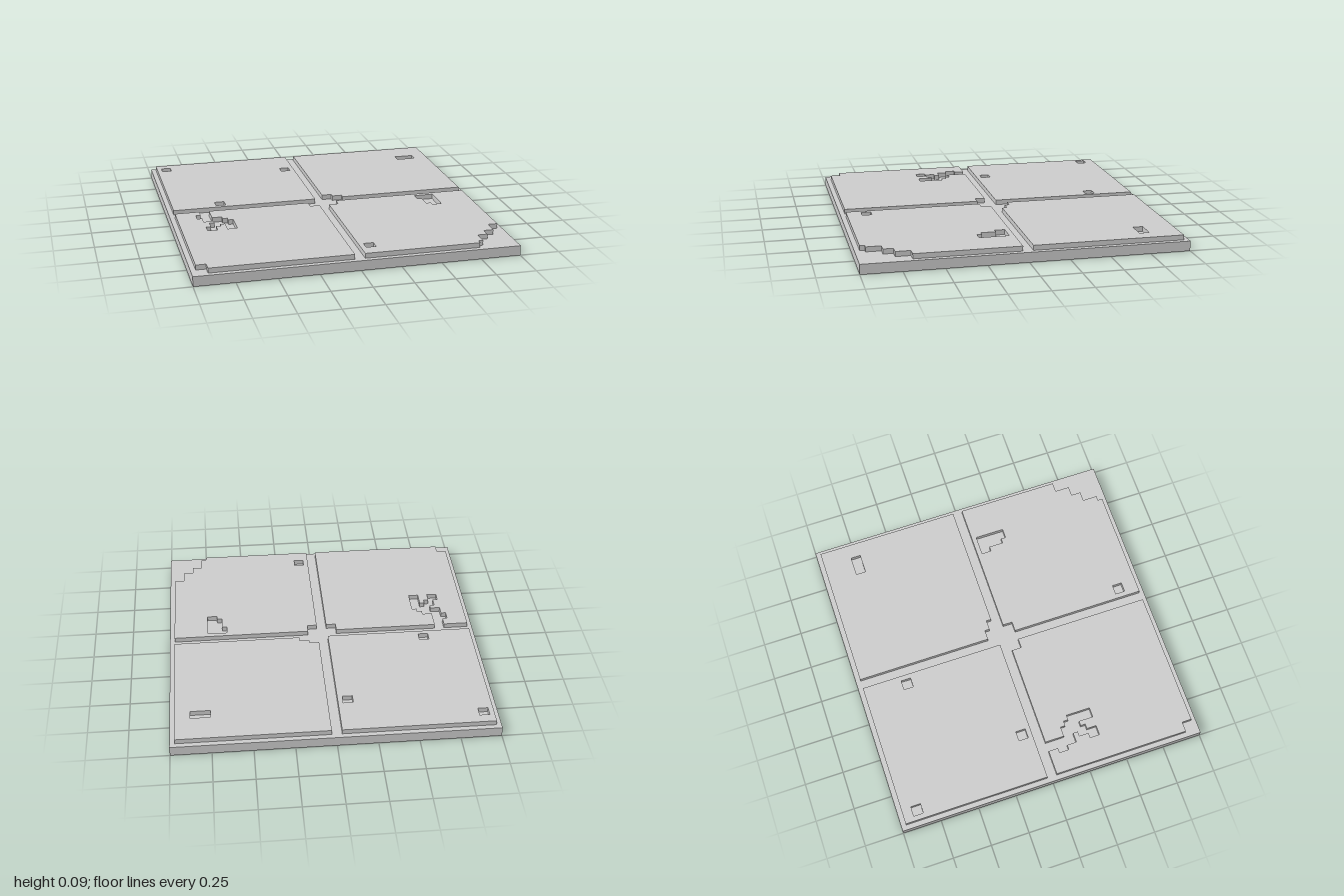
import * as THREE from 'three';

const U = 1 / 32; // grid step; all outlines below are in grid steps
const BASE_TOP = 2 * U;
const TILE_HEIGHT = U;

// Right-angled outline: starts at x, z and moves alternately along x and z
function walk(x, z, ...steps) {
  const corners = [new THREE.Vector2(x * U, z * U)];
  steps.forEach((step, i) => {
    if (i % 2 === 0) x += step;
    else z += step;
    corners.push(new THREE.Vector2(x * U, z * U));
  });
  return corners;
}

const rect = (x, z, width, depth) => walk(x, z, width, depth, -width);

// Raised slab from an outline, with chips cut through it
function makeTile(name, material, outline, ...holes) {
  const shape = new THREE.Shape(outline);
  shape.holes = holes.map((hole) => new THREE.Path(hole));
  const geometry = new THREE.ExtrudeGeometry(shape, { depth: TILE_HEIGHT, bevelEnabled: false });
  geometry.rotateX(Math.PI / 2); // outline y becomes z, depth runs down
  const tile = new THREE.Mesh(geometry, material);
  tile.name = name;
  tile.position.y = BASE_TOP + TILE_HEIGHT;
  return tile;
}

export function createModel() {
  const group = new THREE.Group();
  group.name = 'tiledFloor';
  const material = new THREE.MeshStandardMaterial({ color: 0xcccccc, flatShading: true });

  // Base slab
  const base = new THREE.Mesh(new THREE.BoxGeometry(2, BASE_TOP, 2), material);
  base.name = 'baseSlab';
  base.position.y = BASE_TOP / 2;
  group.add(base);

  // Whole tile with three square chips
  group.add(makeTile('backRightTile', material, rect(-31, -31, 30, 30),
    rect(-30, -29, 2, 2), rect(-4, -23, 2, 2), rect(-22, -4, 2, 2)));

  // Tile with a stepped inner corner
  group.add(makeTile('backLeftTile', material,
    walk(1, -31, 30, 30, -26, -1, -2, -1, -2),
    rect(24, -25, 4, 2)));

  // Tile with a branching crack from its back edge and two chipped corners
  const crack = [2, -1, 2, 1, 2, 2, 1, -1, 2, -1, 2, 2, -2, 1, -1, 1, 3, 2, -5, -1, -1, -1, -1, -2, -4];
  group.add(makeTile('frontRightTile', material,
    walk(-31, 1, 5, ...crack, 21, 2, 2, 28, -28, -2, -2)));

  // Tile with a broken outer corner and a notched inner corner
  const brokenCorner = [-2, 3, -2, 2, -2, 3, -1, 1];
  group.add(makeTile('frontLeftTile', material,
    walk(3, 1, 28, 21, ...brokenCorner, -23, -28, 2),
    walk(20, 2, 4, 6, -2, -1, -1, -3, -1), rect(2, 26, 2, 2)));

  return group;
}
